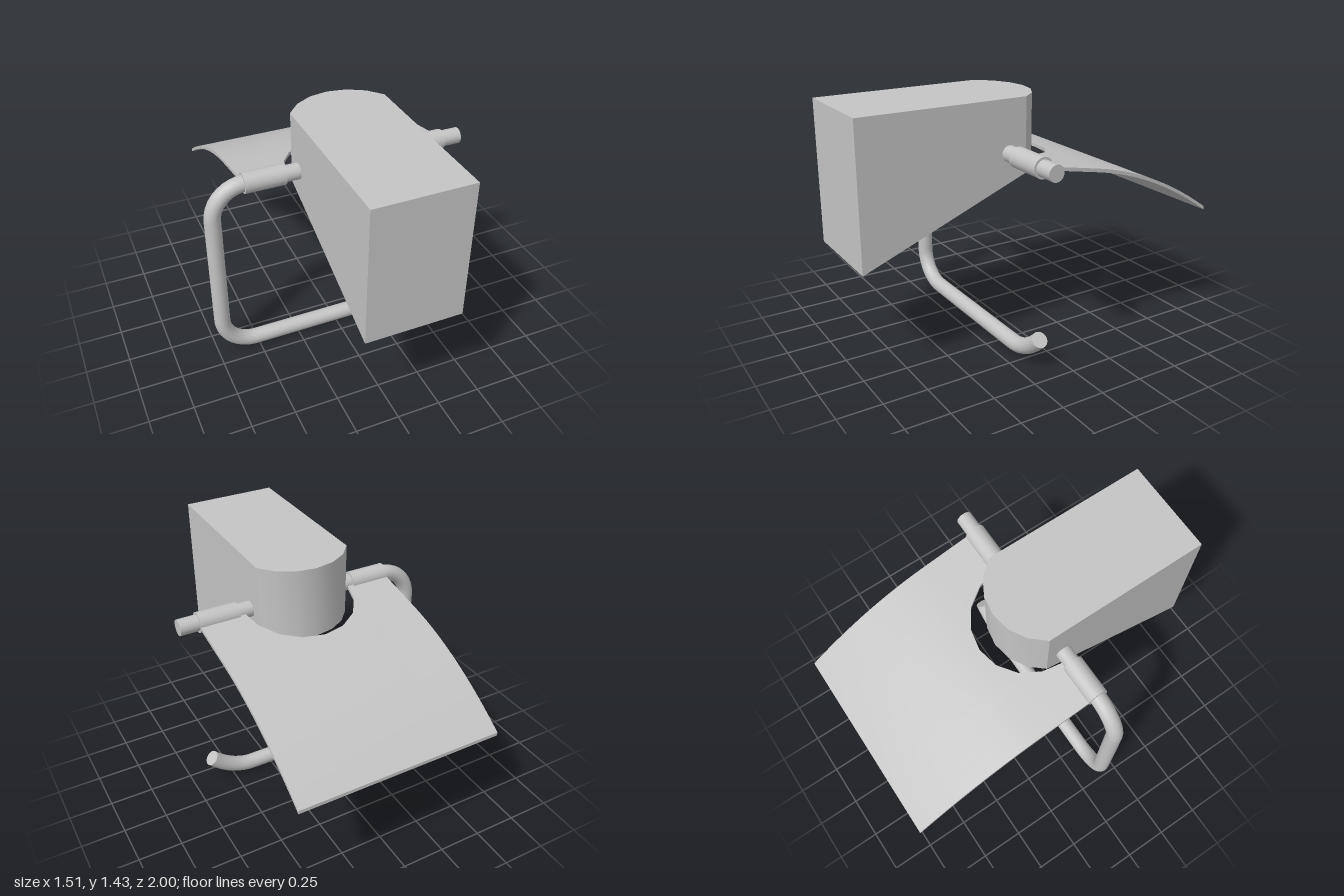
import * as THREE from 'three';
import { toCreasedNormals } from 'three/addons/utils/BufferGeometryUtils.js';

const V = (x, y, z) => new THREE.Vector3(x, y, z);
const CX = 0.055;                 // centre line of block and notch
const ROD_Y = 1.136, ROD_Z = 0.145, ROD_R = 0.046;

// Wall block: slices across x, rounded at the back, sloping underneath
function blockGeometry() {
  const R = 0.3215, half = 0.275, n = 6, amax = Math.asin(half / R);
  const pos = [], idx = [];
  for (let i = 0; i <= n; i++) {
    const a = -amax + (2 * amax * i) / n;
    const x = CX + R * Math.sin(a), z = -0.112 + R * (1 - Math.cos(a));
    pos.push(x, 1.43, 1, x, 1.43, z, x, 1.015, z, x, 0.635, 1);
  }
  for (let i = 0; i < n; i++) {
    for (let j = 0; j < 4; j++) {
      const k = (j + 1) % 4;
      const a = i * 4 + j, b = a + 4, c = i * 4 + 4 + k, d = i * 4 + k;
      idx.push(a, b, d, b, c, d);
    }
  }
  const e = n * 4;
  idx.push(0, 1, 2, 0, 2, 3, e, e + 2, e + 1, e, e + 3, e + 2);
  const g = new THREE.BufferGeometry();
  g.setAttribute('position', new THREE.Float32BufferAttribute(pos, 3));
  g.setIndex(idx);
  return toCreasedNormals(g, 0.45);
}

// Curved cover plate: a thin box bent downwards, with a round notch
function coverGeometry() {
  const R = 0.325, seg = 8, rows = 18, cols = seg + 2;
  const columns = [[-0.53, 0.1]];
  for (let i = 0; i <= seg; i++) {
    const a = (Math.PI * i) / seg;
    columns.push([CX - R * Math.cos(a), Math.min(0.1, 0.115 - R * Math.sin(a))]);
  }
  columns.push([0.645, 0.1]);
  const g = new THREE.BoxGeometry(1, 1, 1, cols, 1, rows);
  const p = g.attributes.position;
  for (let i = 0; i < p.count; i++) {
    const [x, start] = columns[Math.round((p.getX(i) + 0.5) * cols)];
    const z = THREE.MathUtils.lerp(-0.995, start, p.getZ(i) + 0.5);
    const s = 0.1 - z, bend = Math.max(0, s - 0.3);
    p.setXYZ(i, x, 1.127 - 0.19 * s - 0.32 * bend * bend + p.getY(i) * 0.02, z);
  }
  return toCreasedNormals(g, 0.5);
}

// Centre line of the bent rod
function rodPath() {
  const path = new THREE.CurvePath();
  const line = (a, b) => path.add(new THREE.LineCurve3(a, b));
  const corner = (a, c, b) => path.add(new THREE.CubicBezierCurve3(
    a, a.clone().lerp(c, 0.55), b.clone().lerp(c, 0.55), b));
  const P = (x, y) => V(x, y, ROD_Z);
  line(P(0.754, ROD_Y), P(-0.52, ROD_Y));
  corner(P(-0.52, ROD_Y), P(-0.711, ROD_Y), P(-0.711, 0.945));
  line(P(-0.711, 0.945), P(-0.711, 0.24));
  corner(P(-0.711, 0.24), P(-0.711, ROD_R), P(-0.515, ROD_R));
  line(P(-0.515, ROD_R), P(0.37, ROD_R));
  path.add(new THREE.QuadraticBezierCurve3(P(0.37, ROD_R), P(0.504, ROD_R), P(0.635, 0.177)));
  return path;
}

export function createModel() {
  const metal = new THREE.MeshStandardMaterial({ color: 0xc4c4c4 });
  metal.name = 'brushed grey metal';
  const group = new THREE.Group();
  group.name = 'toiletRollHolder';
  const add = (name, geometry, parent = group) => {
    const m = new THREE.Mesh(geometry, metal);
    m.name = name;
    parent.add(m);
    return m;
  };

  add('wallBlock', blockGeometry());
  add('coverPlate', coverGeometry());

  // Rod with closed ends
  const rod = new THREE.Group();
  rod.name = 'rollRod';
  group.add(rod);
  const path = rodPath();
  add('rodTube', new THREE.TubeGeometry(path, 110, ROD_R, 18, false), rod);
  for (const [t, dir] of [[0, -1], [1, 1]]) {
    const cap = add('rodEnd', new THREE.CircleGeometry(ROD_R, 18), rod);
    cap.position.copy(path.getPointAt(t));
    cap.quaternion.setFromUnitVectors(V(0, 0, 1), path.getTangentAt(t).multiplyScalar(dir));
  }

  // Hinge sleeves gripping the rod
  for (const [x0, x1] of [[-0.533, -0.303], [0.412, 0.644]]) {
    const sleeve = add('hingeSleeve', new THREE.CylinderGeometry(0.058, 0.058, x1 - x0, 20));
    sleeve.rotation.z = Math.PI / 2;
    sleeve.position.set((x0 + x1) / 2, ROD_Y, ROD_Z);
  }
  return group;
}
